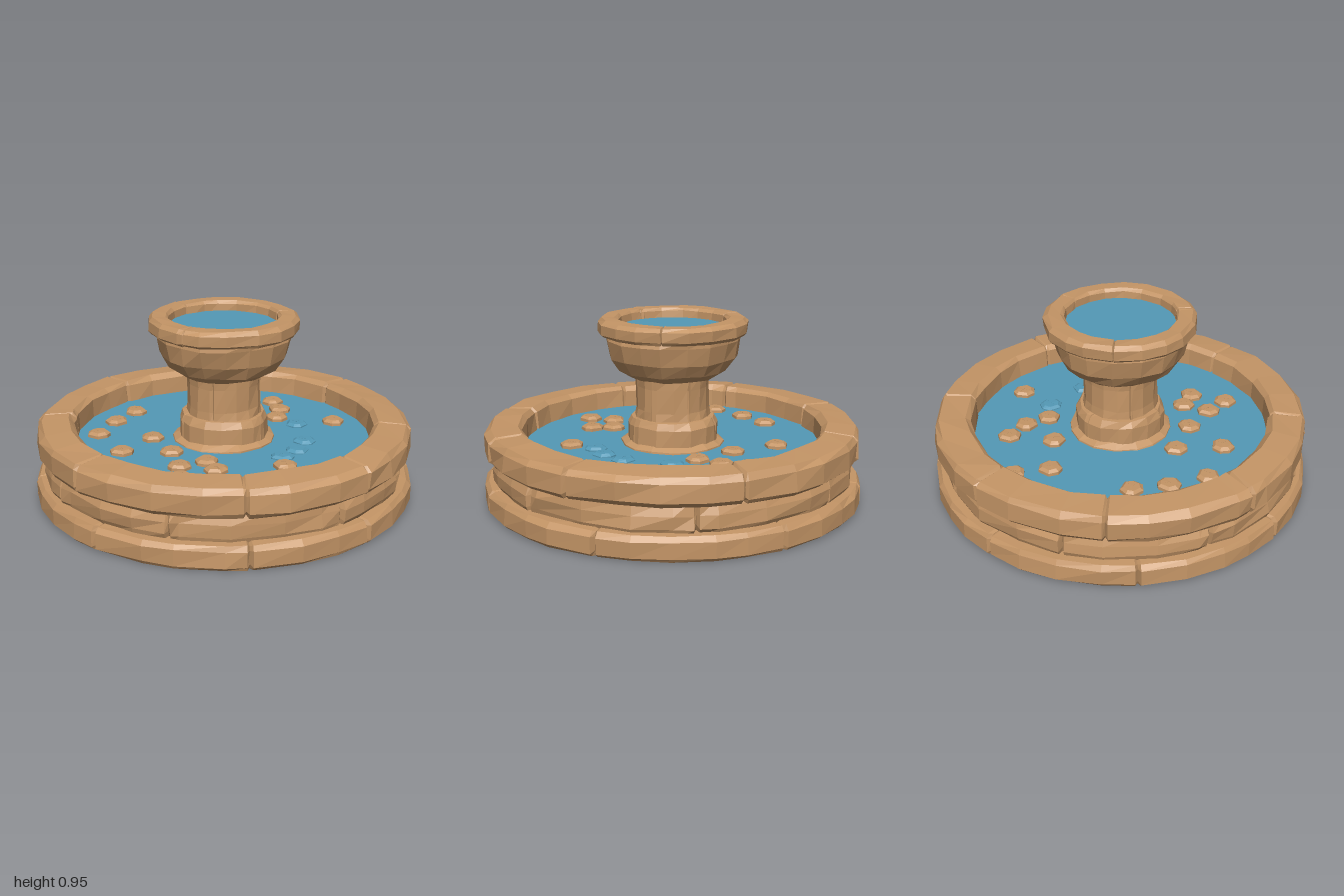
import * as THREE from 'three';

const stone = new THREE.MeshStandardMaterial({ color: 0xc49566, flatShading: true });
stone.name = 'tan stone';
const water = new THREE.MeshStandardMaterial({ color: 0x5499b6, flatShading: true });
water.name = 'blue water';

// Small seeded generator for the chiselled irregularity
function seeded(seed) {
  let s = seed;
  return () => (s = (s * 16807) % 2147483647) / 2147483647;
}

// Turned stone: sweeps a profile of [radius, height], outside going up, with
// uneven corners and narrow V-shaped joints at the seam angles (degrees).
function carved(profile, { segments = 28, chip = 0.012, seams = [], centre = null, seed = 7 }) {
  const rand = seeded(seed * 7919);
  const step = (Math.PI * 2) / segments;
  const cols = [];
  const seamAngles = seams.map((d) => (d * Math.PI) / 180);
  for (let i = 0; i < segments; i++) {
    const a = i * step + (rand() - 0.5) * step * 0.3;
    const far = seamAngles.every((s) => Math.abs(Math.atan2(Math.sin(a - s), Math.cos(a - s))) > 0.05);
    if (far) cols.push({ a, cut: 0 });
  }
  seamAngles.forEach((s) => {
    cols.push({ a: s - 0.014, cut: 0 }, { a: s, cut: 1 }, { a: s + 0.014, cut: 0 });
  });
  cols.forEach((c) => { c.a = (c.a + Math.PI * 4) % (Math.PI * 2); });
  cols.sort((p, q) => p.a - q.a);

  const pos = [], index = [], n = profile.length;
  for (const { a, cut } of cols) {
    for (const [r0, y0] of profile) {
      let r = r0 - (r0 > 0 ? rand() * chip : 0);
      let y = y0 - (y0 > 0 ? rand() * chip * 0.6 : 0);
      if (cut && centre && r0 > 0) {
        r += (centre[0] - r) * 0.16;
        if (y0 > 0) y += (centre[1] - y) * 0.16;
      }
      pos.push(r * Math.sin(a), y, r * Math.cos(a));
    }
  }
  for (let i = 0; i < cols.length; i++) {
    const k = (i + 1) % cols.length;
    for (let j = 0; j < n - 1; j++) {
      const a = i * n + j, b = k * n + j;
      index.push(a, b, b + 1, a, b + 1, a + 1);
    }
  }
  const indexed = new THREE.BufferGeometry();
  indexed.setAttribute('position', new THREE.Float32BufferAttribute(pos, 3));
  indexed.setIndex(index);
  const geo = indexed.toNonIndexed();
  geo.computeVertexNormals();
  return geo;
}

export function createModel() {
  const group = new THREE.Group();
  const add = (name, geo, mat, x = 0, y = 0, z = 0) => {
    const mesh = new THREE.Mesh(geo, mat);
    mesh.name = name;
    mesh.position.set(x, y, z);
    group.add(mesh);
    return mesh;
  };

  // Basin: wide foot, recessed wall and overhanging rim
  add('basinFoot', carved(
    [[0, 0], [0.985, 0], [1, 0.02], [1, 0.1], [0.98, 0.125], [0.88, 0.13]],
    { segments: 32, chip: 0.01, seams: [0, 47, 100, 145, 190, 236, 278, 323], centre: [0.85, 0.07], seed: 3 }), stone);
  add('basinWall', carved(
    [[0.935, 0.1], [0.955, 0.15], [0.955, 0.21], [0.935, 0.28]],
    { segments: 26, chip: 0.022, seams: [22, 75, 122, 168, 212, 258, 300, 352], centre: [0.8, 0.2], seed: 11 }), stone);
  add('basinRim', carved(
    [[0.78, 0.255], [0.965, 0.255], [0.99, 0.28], [0.99, 0.37], [0.965, 0.4],
      [0.82, 0.41], [0.795, 0.385], [0.785, 0.25]],
    { segments: 28, chip: 0.015, seams: [0, 38, 88, 140, 181, 225, 270, 322], centre: [0.88, 0.33], seed: 5 }), stone);
  add('basinWater', new THREE.CylinderGeometry(0.8, 0.8, 0.02, 32), water, 0, 0.275, 0);

  // Pedestal: skirt, step and column
  add('pedestalSkirt', carved(
    [[0.28, 0.27], [0.275, 0.295], [0.23, 0.32]], { segments: 16, chip: 0.01, seed: 13 }), stone);
  add('pedestalStep', carved(
    [[0.24, 0.27], [0.24, 0.4], [0.222, 0.435], [0.17, 0.44]],
    { segments: 16, chip: 0.01, seams: [10, 140, 250], centre: [0.15, 0.35], seed: 17 }), stone);
  add('column', carved(
    [[0.205, 0.42], [0.198, 0.48], [0.197, 0.6], [0.202, 0.67]],
    { segments: 16, chip: 0.01, seams: [35, 95, 200, 300], centre: [0.12, 0.55], seed: 19 }), stone);

  // Upper bowl and its rim
  add('bowl', carved(
    [[0.15, 0.65], [0.23, 0.65], [0.295, 0.69], [0.34, 0.755], [0.36, 0.85], [0.355, 0.89]],
    { segments: 18, chip: 0.014, seed: 23 }), stone);
  add('bowlRim', carved(
    [[0.3, 0.87], [0.38, 0.87], [0.395, 0.885], [0.395, 0.935], [0.375, 0.955],
      [0.305, 0.955], [0.29, 0.94], [0.285, 0.86]],
    { segments: 18, chip: 0.009, seams: [60, 180, 285], centre: [0.34, 0.91], seed: 29 }), stone);
  add('bowlWater', new THREE.CylinderGeometry(0.3, 0.3, 0.02, 20), water, 0, 0.89, 0);

  // Pebbles on the basin water, some of them under a film of water
  const pebble = carved(
    [[0.05, 0], [0.064, 0.006], [0.062, 0.022], [0.045, 0.034], [0, 0.035]],
    { segments: 7, chip: 0.004, seed: 31 });
  const dry = [
    [-0.48, -0.46], [-0.29, -0.55], [-0.11, -0.6], [0.31, -0.46], [0.49, -0.52], [-0.55, -0.18],
    [0.57, -0.18], [0.5, -0.06], [-0.47, 0.17], [-0.56, 0.28], [-0.37, 0.33], [0.57, 0.28],
    [-0.09, 0.53], [-0.31, -0.22], [0.33, -0.2], [-0.37, 0], [-0.33, 0.22], [0.39, 0.02],
  ];
  const wet = [[0, 0.43], [0.12, 0.42], [0.24, 0.36], [0.4, 0.16]];
  dry.forEach(([x, z], i) => { add('pebble', pebble, stone, x, 0.28, z).rotation.y = i * 1.3; });
  wet.forEach(([x, z], i) => { add('wetPebble', pebble, water, x, 0.27, z).rotation.y = i * 1.7; });

  return group;
}
